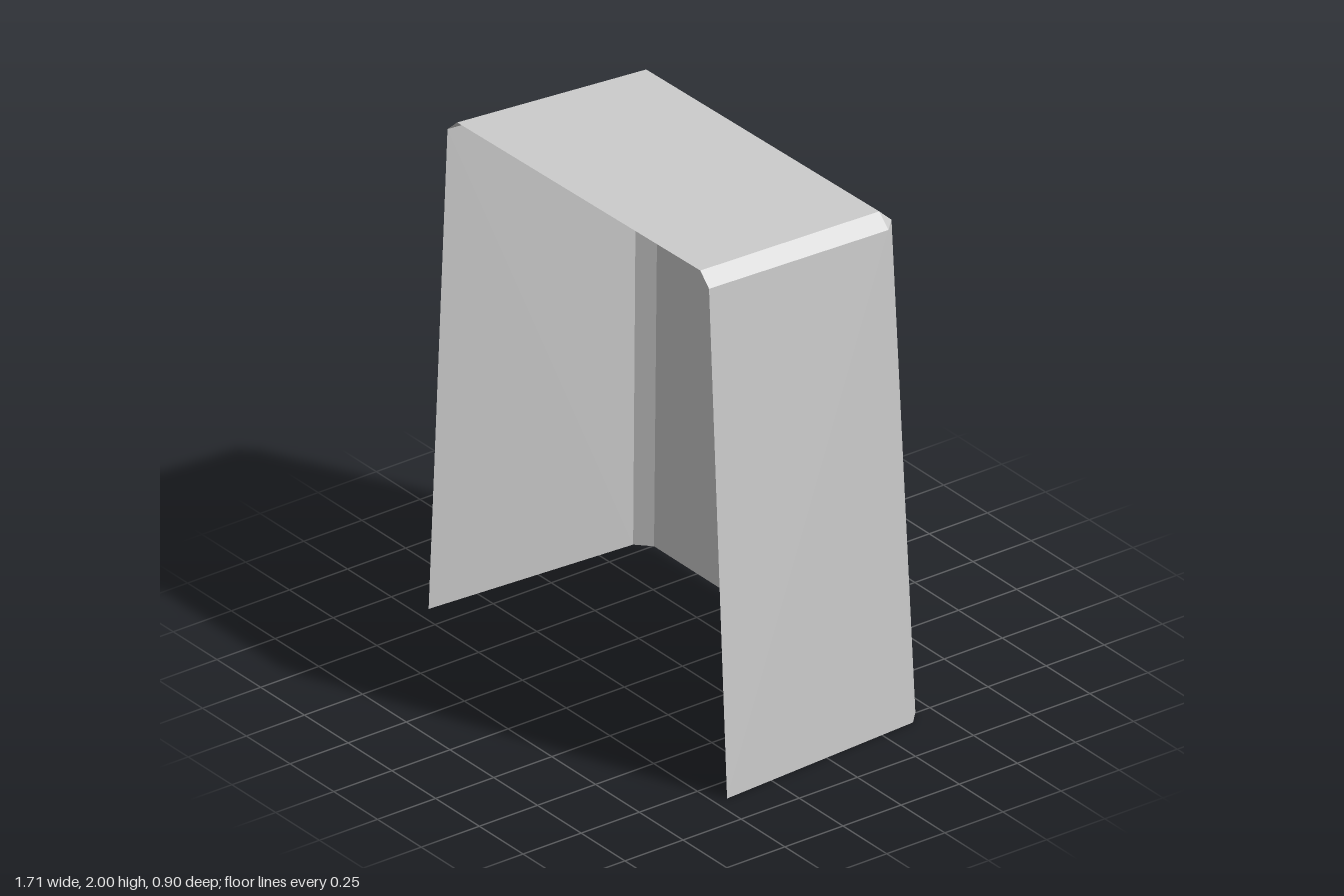
import * as THREE from 'three';

const material = new THREE.MeshStandardMaterial({ color: 0xcccccc, flatShading: true, side: THREE.DoubleSide });

// Flat panels from convex outlines, given counter-clockwise from outside
function panels(name, outlines) {
  const pos = [];
  for (const o of outlines) {
    for (let i = 1; i < o.length - 1; i++) pos.push(...o[0], ...o[i], ...o[i + 1]);
  }
  const geo = new THREE.BufferGeometry();
  geo.setAttribute('position', new THREE.Float32BufferAttribute(pos, 3));
  geo.computeVertexNormals();
  const mesh = new THREE.Mesh(geo, material);
  mesh.name = name;
  return mesh;
}

// Polygon path with each corner rounded off over distance r
function roundedPath(points, r, Type = THREE.Shape) {
  const path = new Type();
  const v = points.map(([x, y]) => new THREE.Vector2(x, y));
  v.forEach((p, i) => {
    const toward = (q) => p.clone().add(q.clone().sub(p).setLength(r));
    const a = toward(v[(i + v.length - 1) % v.length]);
    const b = toward(v[(i + 1) % v.length]);
    if (i === 0) path.moveTo(a.x, a.y);
    else path.lineTo(a.x, a.y);
    path.quadraticCurveTo(p.x, p.y, b.x, b.y);
  });
  path.closePath();
  return path;
}

// Thin sheet floating just behind the sloping back panel
function backSheet(name, shape, gap) {
  const geo = new THREE.ShapeGeometry(shape, 4);
  const p = geo.attributes.position;
  for (let i = 0; i < p.count; i++) p.setZ(i, -0.44 - gap + 0.0265 * p.getY(i));
  geo.computeVertexNormals();
  const mesh = new THREE.Mesh(geo, material);
  mesh.name = name;
  return mesh;
}

const trapezoid = (xBottom, xTop, yBottom, yTop) =>
  [[-xBottom, yBottom], [xBottom, yBottom], [xTop, yTop], [-xTop, yTop]];

export function createModel() {
  const group = new THREE.Group();
  group.name = 'cover';

  // Corner points of the tapering, slightly lopsided shell on each side
  const base = (s) => ({
    frontBottom: [s * 0.853, 0, 0.45],
    sideBottom: [s * 0.80, 0, -0.39],
    backBottom: [s * 0.747, 0, -0.44],
  });
  const l = {
    ...base(1),
    frontTop: [0.75, 1.95, 0.45], sideTop: [0.73, 1.914, -0.337],
    backTop: [0.677, 1.914, -0.39], roofBack: [0.677, 1.964, -0.337], roofFront: [0.70, 2, 0.45],
  };
  const r = {
    ...base(-1),
    frontTop: [-0.745, 1.925, 0.45], sideTop: [-0.71, 1.89, -0.337],
    backTop: [-0.655, 1.89, -0.39], roofBack: [-0.655, 1.94, -0.337], roofFront: [-0.69, 1.975, 0.45],
  };

  // Side walls with their chamfers
  for (const [c, name] of [[l, 'left'], [r, 'right']]) {
    const wind = (o) => (c === l ? o : o.reverse());
    group.add(
      panels(name + 'Wall', [wind([c.frontBottom, c.sideBottom, c.sideTop, c.frontTop])]),
      panels(name + 'Chamfers', [
        wind([c.sideBottom, c.backBottom, c.backTop, c.sideTop]),
        wind([c.frontTop, c.sideTop, c.roofBack, c.roofFront]),
        wind([c.sideTop, c.backTop, c.roofBack]),
      ]),
    );
  }

  // Back wall, its top chamfer and the roof
  group.add(
    panels('backWall', [[l.backBottom, r.backBottom, r.backTop, l.backTop]]),
    panels('backTopChamfer', [[l.backTop, r.backTop, r.roofBack, l.roofBack]]),
    panels('roof', [[l.roofBack, r.roofBack, r.roofFront, l.roofFront]]),
  );

  // Border frame on the back
  const frame = roundedPath(trapezoid(0.592, 0.53, 0.29, 1.755), 0.05);
  frame.holes.push(roundedPath(trapezoid(0.545, 0.485, 0.335, 1.71), 0.012, THREE.Path));
  group.add(backSheet('borderFrame', frame, 0.018));

  // Warning triangle with a lightning bolt
  const triangle = roundedPath([[-0.35, 0.885], [0.42, 0.885], [0.025, 1.54]], 0.08);
  const bolt = new THREE.Shape([
    [0.122, 1.26], [0.004, 1.327], [-0.05, 1.092], [0.024, 1.094],
    [0.013, 0.943], [0.132, 1.153], [0.066, 1.155],
  ].map(([x, y]) => new THREE.Vector2(x, y)));
  group.add(
    backSheet('warningTriangle', triangle, 0.018),
    backSheet('lightningBolt', bolt, 0.022),
  );

  return group;
}
